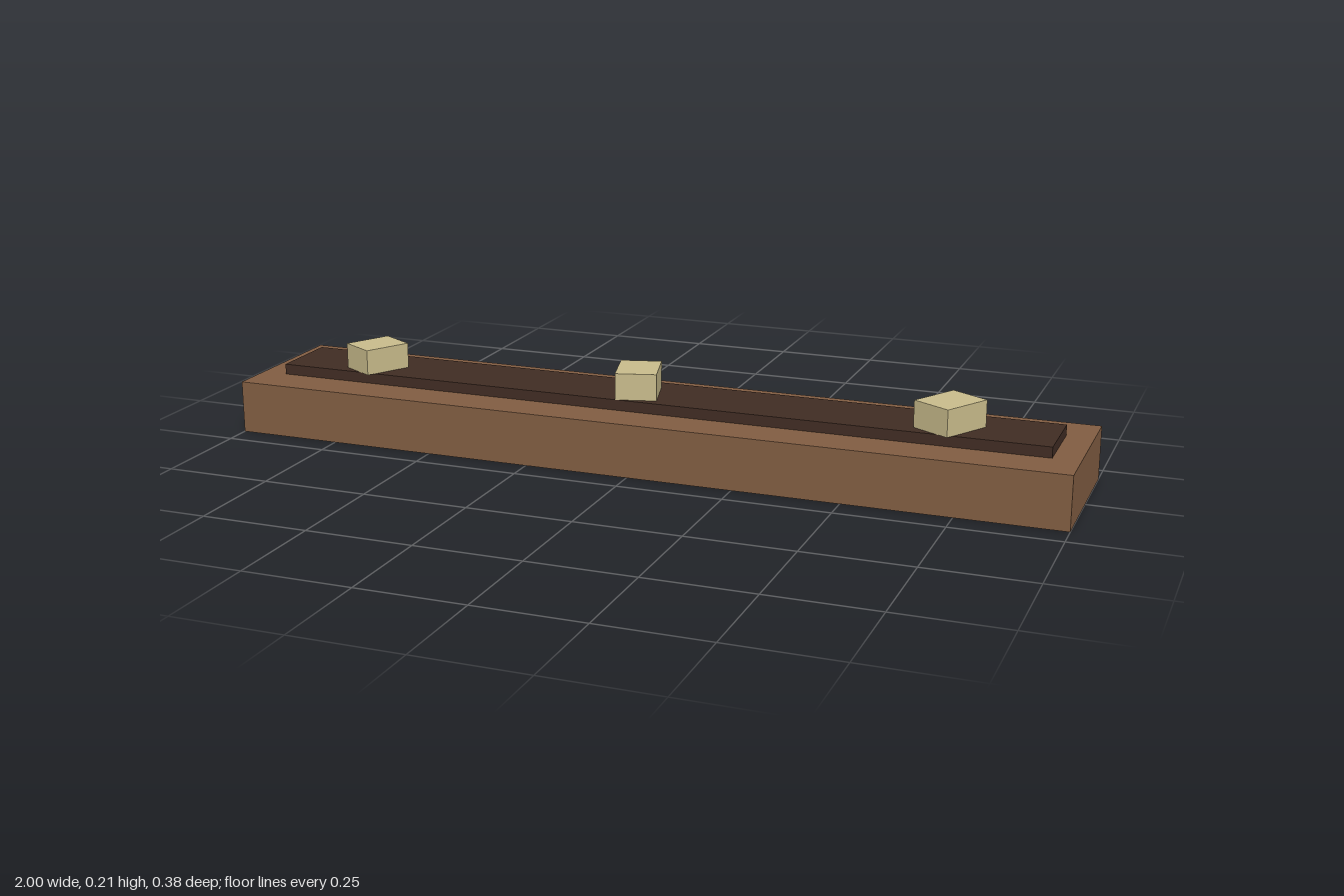
import * as THREE from 'three';

export function createModel() {
  const model = new THREE.Group();
  model.name = 'rack';

  const wood = new THREE.MeshStandardMaterial({ color: 0x815d42, side: THREE.DoubleSide });
  wood.name = 'brown wood';
  const dark = new THREE.MeshStandardMaterial({ color: 0x402c23 });
  dark.name = 'dark brown';
  const cream = new THREE.MeshStandardMaterial({ color: 0xc8bb8b });
  cream.name = 'cream';

  const add = (name, geometry, material, x, y, z, turn = 0) => {
    const mesh = new THREE.Mesh(geometry, material);
    mesh.name = name;
    mesh.position.set(x, y, z);
    mesh.rotation.y = THREE.MathUtils.degToRad(turn);
    model.add(mesh);
  };

  // Hollow base: a thin-walled box, open underneath (the bottom face is left out)
  const shell = new THREE.BoxGeometry(2, 0.125, 0.375);
  const bottom = shell.groups[3];
  const index = Array.from(shell.index.array);
  index.splice(bottom.start, bottom.count);
  shell.setIndex(index);
  shell.clearGroups();
  add('base', shell, wood, 0, 0.0625, 0);

  // Raised inlay on top of the base
  add('inlay', new THREE.BoxGeometry(1.875, 0.025, 0.175), dark, 0, 0.1375, 0);

  // Loose blocks: x, z, width, height, depth, turn in degrees
  const blocks = [
    ['rightBlock', -0.711, 0.032, 0.092, 0.0605, 0.115, -30],
    ['middleBlock', -0.036, 0.018, 0.096, 0.0625, 0.12, 15],
    ['leftBlock', 0.7, 0.024, 0.1, 0.0625, 0.125, -30],
  ];
  for (const [name, x, z, w, h, d, turn] of blocks) {
    add(name, new THREE.BoxGeometry(w, h, d), cream, x, 0.15 + h / 2, z, turn);
  }

  return model;
}
